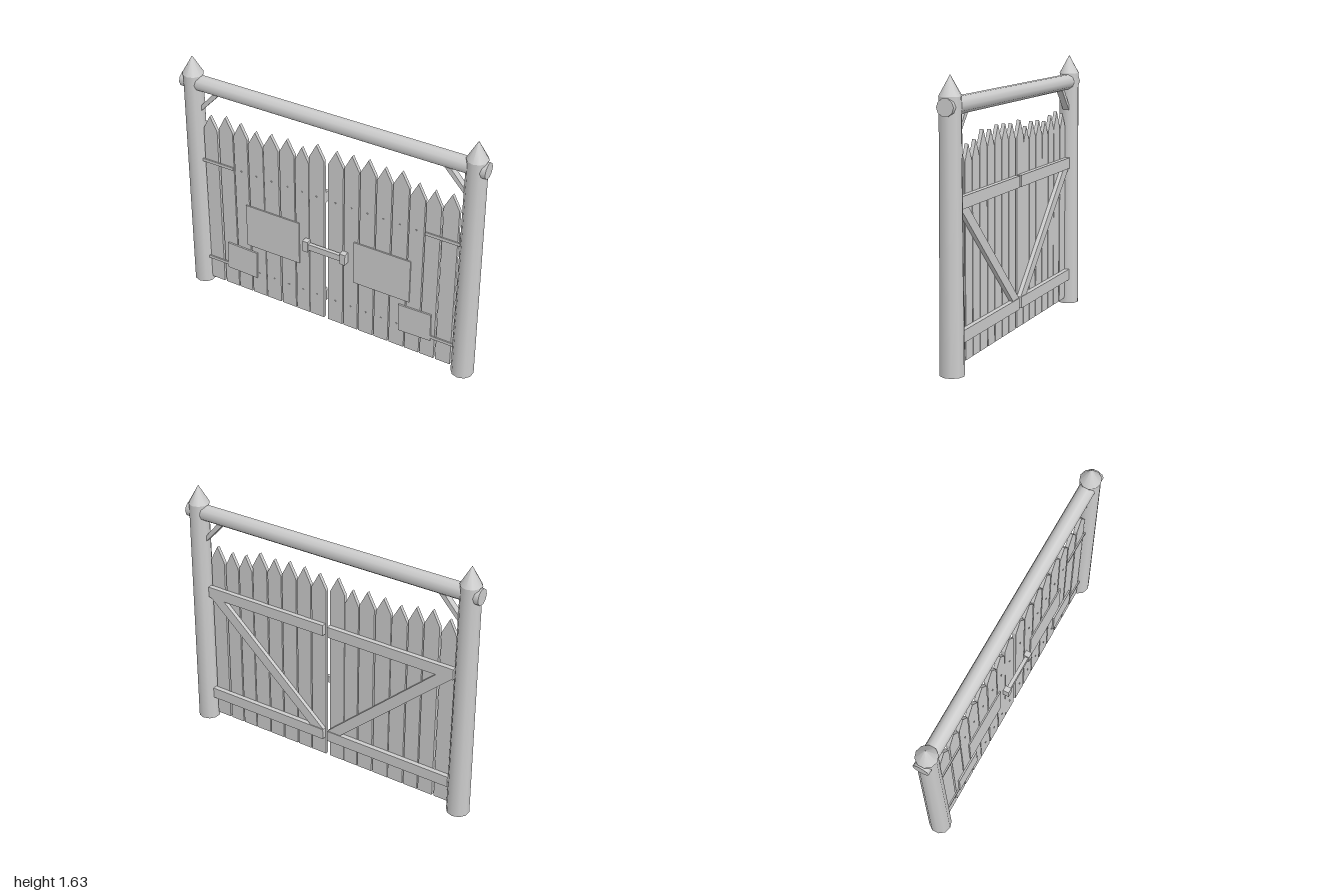
import * as THREE from 'three';

const wood = new THREE.MeshStandardMaterial({ color: 0xcccccc });
wood.name = 'pale grey wood';

function add(parent, name, geometry, x = 0, y = 0, z = 0) {
  const mesh = new THREE.Mesh(geometry, wood);
  mesh.name = name;
  mesh.position.set(x, y, z);
  parent.add(mesh);
  return mesh;
}

// box given by its limits
function slab(parent, name, x0, x1, y0, y1, z0, z1) {
  return add(parent, name, new THREE.BoxGeometry(Math.abs(x1 - x0), y1 - y0, z1 - z0),
    (x0 + x1) / 2, (y0 + y1) / 2, (z0 + z1) / 2);
}

// flat outline extruded from z0 to z1
function board(parent, name, points, z0, z1) {
  const shape = new THREE.Shape(points.map(([x, y]) => new THREE.Vector2(x, y)));
  const geometry = new THREE.ExtrudeGeometry(shape, { depth: z1 - z0, bevelEnabled: false });
  return add(parent, name, geometry, 0, 0, z0);
}

// plank: left edge, right edge, tip height
const PLANKS = [
  [-0.86, -0.763, 1.26], [-0.75, -0.652, 1.285], [-0.645, -0.55, 1.27], [-0.542, -0.44, 1.245],
  [-0.435, -0.332, 1.26], [-0.322, -0.222, 1.265], [-0.215, -0.123, 1.245], [-0.119, -0.018, 1.293],
  [0.01, 0.112, 1.285], [0.12, 0.217, 1.295], [0.225, 0.325, 1.3], [0.333, 0.43, 1.285],
  [0.438, 0.54, 1.295], [0.547, 0.643, 1.25], [0.651, 0.745, 1.237], [0.757, 0.855, 1.25],
];
const BACK = 0, FRONT = 0.022;

export function createModel() {
  const model = new THREE.Group();
  model.name = 'palisadeGate';

  // pointed posts and the corner struts below the beam
  for (const s of [-1, 1]) {
    const post = new THREE.Group();
    post.name = s < 0 ? 'rightPost' : 'leftPost';
    post.position.x = s * 0.93;
    model.add(post);
    add(post, 'postLog', new THREE.CylinderGeometry(0.062, 0.07, 1.52, 10), 0, 0.76, 0);
    add(post, 'postPoint', new THREE.ConeGeometry(0.065, 0.115, 10), 0, 1.5725, 0);
    board(model, 'cornerStrut', [
      [s * 0.88, 1.27], [s * 0.745, 1.415], [s * 0.785, 1.415], [s * 0.88, 1.305],
    ], -0.02, 0.02);
  }

  // log across the top
  const beam = add(model, 'topBeam', new THREE.CylinderGeometry(0.05, 0.05, 2, 10), 0, 1.46, 0);
  beam.rotation.z = Math.PI / 2;

  // pointed planks with nails at both rails
  const nail = new THREE.CylinderGeometry(0.005, 0.005, 0.006, 6).rotateX(Math.PI / 2);
  PLANKS.forEach(([x0, x1, tip]) => {
    const mid = (x0 + x1) / 2;
    board(model, 'plank', [
      [x0, 0.035], [x1, 0.035], [x1, tip - 0.095], [mid, tip], [x0, tip - 0.095],
    ], BACK, FRONT);
    for (const y of [0.2, 0.935]) add(model, 'nail', nail, mid, y, FRONT + 0.002);
  });

  for (const s of [-1, 1]) {
    // rails and diagonal brace behind each door
    for (const y of [0.16, 0.9]) slab(model, 'rail', s * 0.015, s * 0.865, y, y + 0.07, -0.03, BACK);
    board(model, 'diagonalBrace', [
      [s * 0.855, 0.9], [s * 0.755, 0.9], [s * 0.015, 0.23], [s * 0.11, 0.23],
    ], -0.025, BACK);

    // hinge straps
    for (const y of [0.185, 0.925]) slab(model, 'hinge', s * 0.655, s * 0.875, y, y + 0.02, FRONT, FRONT + 0.008);

    // repair boards nailed on the front
    slab(model, 'largePatch', s * 0.19, s * 0.57, 0.4, 0.7, FRONT, FRONT + 0.008);
    const patch = slab(model, 'smallPatch', s * 0.503, s * 0.72, 0.165, 0.36, FRONT, FRONT + 0.01);
    patch.rotation.z = s * 0.025;

    // bracket of the locking bar
    slab(model, 'latchBracket', s * 0.112, s * 0.148, 0.53, 0.605, FRONT, 0.06);
  }

  // locking bar
  slab(model, 'latchBar', -0.135, 0.135, 0.545, 0.587, 0.03, 0.053);

  return model;
}
